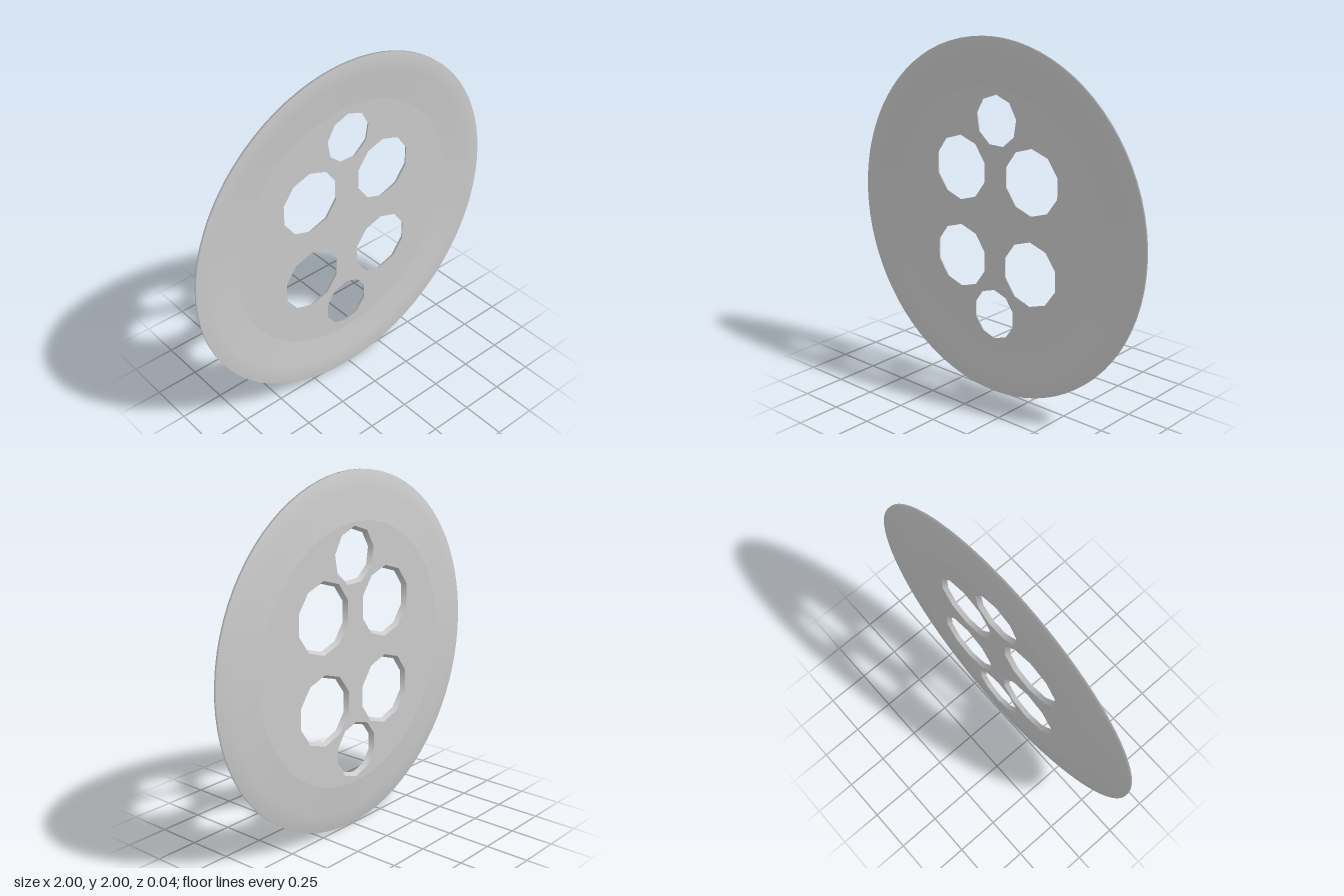
import * as THREE from 'three';

const FRONT = 0.0, BACK = -0.024, SEGS = 80, INNER = 0.735;

// x, y (from the disc centre), radius, sides, turn
const HOLES = [
  [-0.25, 0.26, 0.183, 10, 0],
  [0.255, 0.26, 0.183, 10, 0],
  [-0.25, -0.25, 0.183, 10, 0],
  [0.25, -0.25, 0.183, 10, 0],
  [0.01, 0.555, 0.141, 9, Math.PI],
  [-0.005, -0.544, 0.144, 10, 0],
];
const FLARE = 0.018; // holes widen towards the back

function ring(cx, cy, r, n, turn) {
  return Array.from({ length: n }, (_, i) => {
    const t = turn + (i / n) * Math.PI * 2;
    return new THREE.Vector2(cx + r * Math.sin(t), cy - r * Math.cos(t));
  });
}

// Flat middle of the disc with the six holes cut out
function plate(flare, mirror) {
  const shape = new THREE.Shape(ring(0, 0, INNER, SEGS, 0));
  for (const [x, y, r, n, turn] of HOLES) {
    shape.holes.push(new THREE.Path(ring(x * mirror, y, r + flare, n, turn)));
  }
  return new THREE.ShapeGeometry(shape);
}

export function createModel() {
  const group = new THREE.Group();
  const material = new THREE.MeshStandardMaterial({ color: 0xcccccc });
  const wallMaterial = new THREE.MeshStandardMaterial({ color: 0xcccccc, side: THREE.DoubleSide });
  const add = (name, geometry, mat = material) => {
    const mesh = new THREE.Mesh(geometry, mat);
    mesh.name = name;
    group.add(mesh);
    return mesh;
  };

  // Dished outer rim: back slope, thin edge, front slope
  const profile = [
    [INNER, BACK], [0.78, -0.019], [0.9, -0.006], [1, 0.005],
    [1, 0.02], [0.9, 0.013], [0.8, 0.0045], [INNER, FRONT],
  ].map(([r, z]) => new THREE.Vector2(r, z));
  add('dishedRim', new THREE.LatheGeometry(profile, SEGS).rotateX(Math.PI / 2));

  // Front and back faces
  add('frontFace', plate(0, 1).translate(0, 0, FRONT));
  add('backFace', plate(FLARE, -1).rotateY(Math.PI).translate(0, 0, BACK));

  // Flared hole walls
  HOLES.forEach(([x, y, r, n, turn], i) => {
    const wall = new THREE.CylinderGeometry(r, r + FLARE, FRONT - BACK, n, 1, true);
    wall.rotateX(Math.PI / 2).rotateZ(turn).translate(x, y, (FRONT + BACK) / 2);
    add('holeWall' + (i + 1), wall, wallMaterial);
  });

  // Stand the disc on the ground
  group.children.forEach((m) => { m.position.y = 1; });
  group.name = 'button';
  return group;
}
